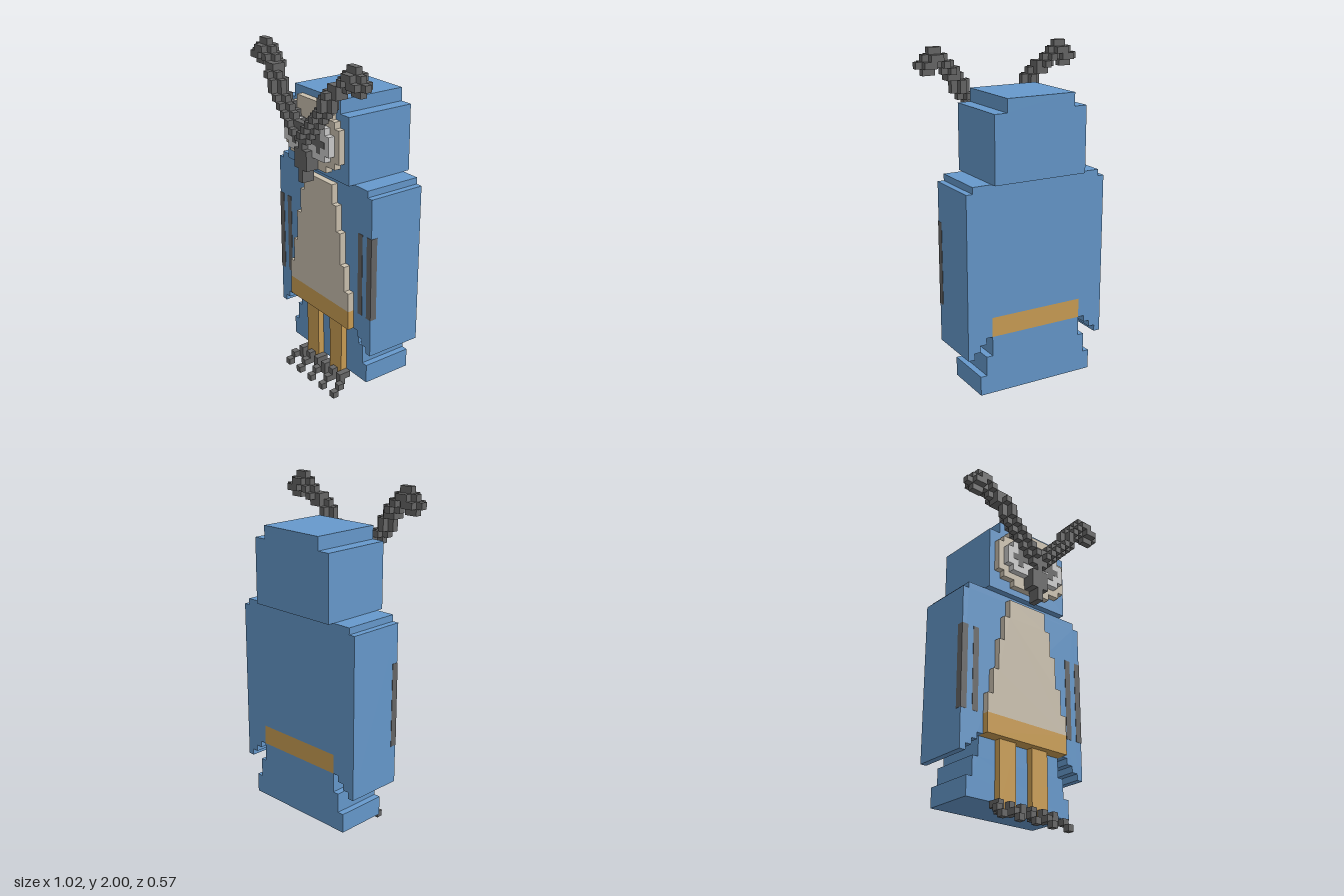
import * as THREE from 'three';
import { mergeGeometries } from 'three/addons/utils/BufferGeometryUtils.js';

const U = 2 / 53; // one block

const material = (name, color) => {
  const m = new THREE.MeshStandardMaterial({ color });
  m.name = name;
  return m;
};

// Box from [x0, x1, y0, y1, z0, z1] in blocks
const block = ([x0, x1, y0, y1, z0, z1]) =>
  new THREE.BoxGeometry((x1 - x0) * U, (y1 - y0) * U, (z1 - z0) * U)
    .translate((x0 + x1) / 2 * U, (y0 + y1) / 2 * U, (z0 + z1) / 2 * U);

// Symmetric stepped plate: right-hand outline [x, y] mirrored, then extruded
function steppedPlate(outline, z0, z1) {
  const left = outline.map(([x, y]) => [-x, y]).reverse();
  const points = [...outline, ...left].map(([x, y]) => new THREE.Vector2(x * U, y * U));
  return new THREE.ExtrudeGeometry(new THREE.Shape(points), { depth: (z1 - z0) * U, bevelEnabled: false })
    .translate(0, 0, z0 * U);
}

// Outline from rows [halfWidth, y0, y1], bottom to top
const rows = list => list.flatMap(([w, y0, y1]) => [[w, y0], [w, y1]]);

export function createModel() {
  const blue = material('blue feathers', 0x6699cc);
  const beige = material('beige down', 0xccc2b0);
  const orange = material('orange', 0xcc9f55);
  const grey = material('dark grey', 0x666666);
  const pale = material('pale grey', 0xcccccc);

  const model = new THREE.Group();
  const add = (name, geometry, mat) => {
    const mesh = new THREE.Mesh(geometry, mat);
    mesh.name = name;
    model.add(mesh);
  };
  const addBlocks = (name, boxes, mat) => add(name, mergeGeometries(boxes.map(block)), mat);

  // Body with folded wings, stepped wing tips and a slot for the belt
  add('body', steppedPlate([
    [7.5, 15], [7.5, 12], [8.5, 12], [8.5, 11], [9.5, 11], [9.5, 10], [10.5, 10], [10.5, 9],
    [11.5, 9], [11.5, 34], [10.5, 34], [10.5, 35],
  ], -6.5, 2.5), blue);
  add('lowerBody', steppedPlate(rows([[9.5, 3, 6], [8.5, 6, 9], [7.5, 9, 12]]), -6.5, 1.5), blue);
  add('head', steppedPlate(rows([[7.5, 35, 45], [5.5, 45, 47]]), -7.5, 3.5), blue);

  // Belly, belt and face
  add('belly', steppedPlate(rows([
    [7.5, 15, 18], [6.5, 18, 22], [5.5, 22, 27], [4.5, 27, 31], [3.5, 31, 34],
  ]), 2.5, 3.5), beige);
  addBlocks('belt', [[-7.5, 7.5, 12, 15, -6.5, 3.5]], orange);
  add('face', steppedPlate(rows([
    [3.5, 36, 37], [5.5, 37, 38], [6.5, 38, 43], [5.5, 43, 44], [4.5, 44, 45], [3.5, 45, 46],
  ]), 3.5, 4.5), beige);

  // Beak
  add('beak', steppedPlate(rows([[0.5, 34, 36], [1.5, 36, 39], [0.5, 39, 43]]), 4.5, 6.5), grey);

  // Centre blocks of the long brow tufts
  const browPath = [
    [1, 41.5, 6], [2, 42.5, 6], [3, 43.5, 6], [4, 44.5, 6], [5, 45.5, 6], [6, 46.5, 6], [6, 47.5, 6],
    [7, 48.5, 6], [8, 49.5, 5], [9, 50.5, 5], [10, 51.5, 5], [11, 51.5, 5], [11, 50.5, 5], [12, 50.5, 5],
  ];

  for (const s of [-1, 1]) {
    const side = s > 0 ? 'left' : 'right';
    const mirror = ([x0, x1, ...rest]) => (s > 0 ? [x0, x1, ...rest] : [-x1, -x0, ...rest]);
    const addSide = (name, boxes, mat) => addBlocks(side + name, boxes.map(mirror), mat);

    // Each point of the brow is a three-way cross of blocks
    addSide('Brow', browPath.flatMap(c => [0, 1, 2].map(axis =>
      c.flatMap((v, i) => (i === axis ? [v - 1.5, v + 1.5] : [v - 0.5, v + 0.5])))), grey);

    // Eye with a flush cross-shaped pupil
    addSide('Eye', [[0.5, 5.5, 39, 42, 4.5, 5.5], [1.5, 4.5, 42, 43, 4.5, 5.5], [1.5, 4.5, 38, 39, 4.5, 5.5]], pale);
    addSide('Pupil', [
      [1.5, 4.5, 40, 41, 5.45, 5.55], [2.5, 3.5, 41, 42, 5.45, 5.55], [2.5, 3.5, 39, 40, 5.45, 5.55],
    ], grey);

    // Wing stripes
    addSide('WingStripes', [[8.5, 9.5, 15, 28, 2.4, 2.55], [10.5, 11.55, 15, 28, 1.5, 2.55]], grey);

    // Leg and toes
    addSide('Leg', [[1.5, 4.5, 2, 12, 1.5, 2.5]], orange);
    addSide('Toes', [
      [4.5, 5.5, 2, 3, 1.5, 3.5], [4.5, 5.5, 1, 2, 2.5, 3.5], [5.5, 6.5, 1, 2, 3.5, 4.5], [5.5, 6.5, 0, 1, 4.5, 5.5],
      [2.5, 3.5, 2, 3, 2.5, 3.5], [2.5, 3.5, 1, 2, 2.5, 4.5], [2.5, 3.5, 0, 1, 4.5, 5.5],
      [0.5, 1.5, 2, 3, 1.5, 3.5], [0.5, 1.5, 1, 2, 2.5, 3.5],
    ], grey);
  }
  addBlocks('middleToe', [[-0.5, 0.5, 1, 2, 3.5, 4.5], [-0.5, 0.5, 0, 1, 4.5, 5.5]], grey);

  return model;
}
